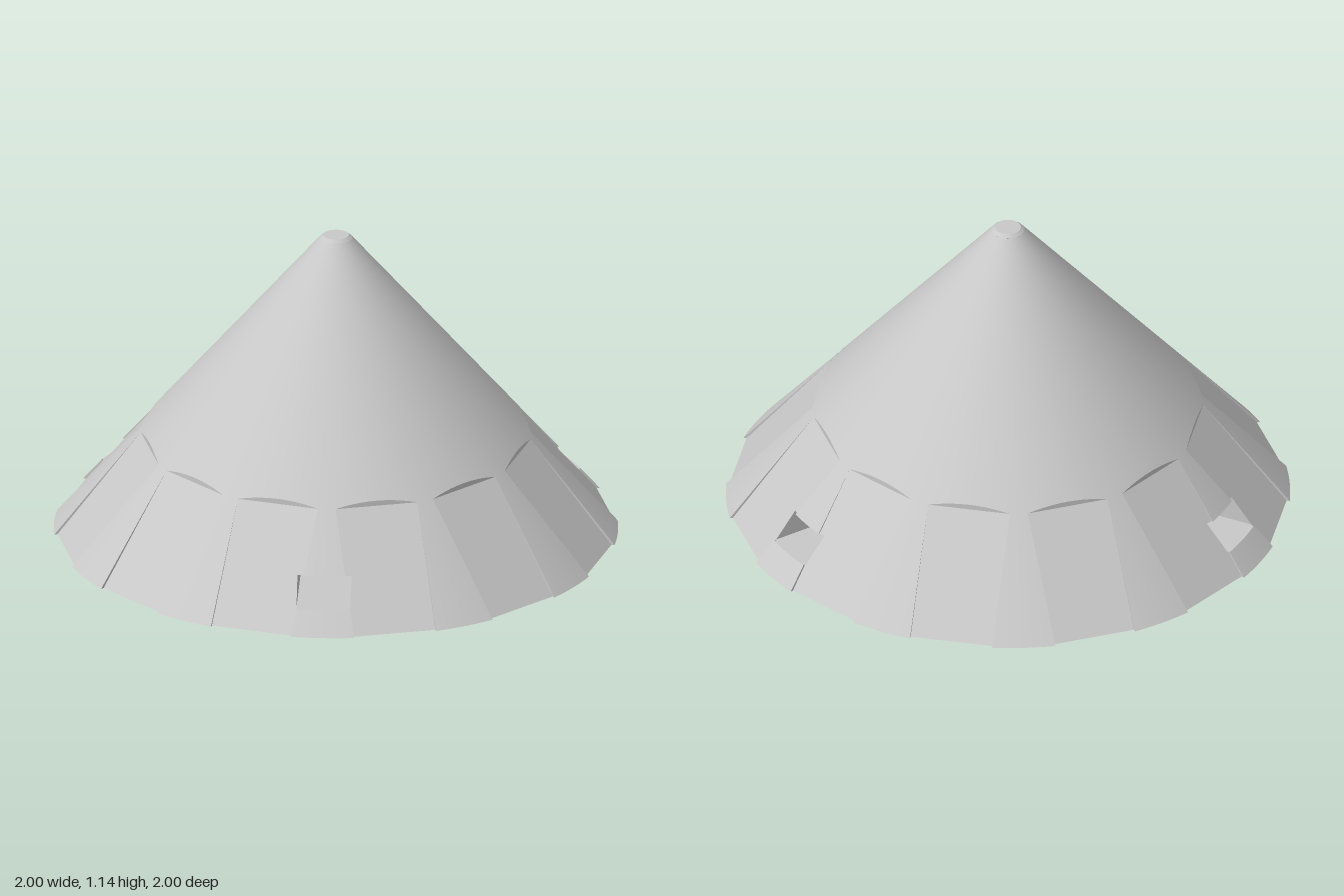
import * as THREE from 'three';

const R0 = 1.011, K = 0.843;               // cone: radius at y is R0 - K*y
const HALF = 0.15, Z_BOTTOM = 0.988, Z_TOP = 0.683; // flat panel half width and depth
const Y_TOP = (R0 - Math.hypot(HALF, Z_TOP)) / K;
const SLOT_Y0 = 0.08, SLOT_Y1 = 0.175, SLOT_HALF = 0.097, SLOT_BACK = 0.5;
const STEP = Math.PI / 6, C15 = Math.cos(STEP / 2), S15 = Math.sin(STEP / 2);

const coneR = y => R0 - K * y;
const panelZ = y => Z_BOTTOM + (Z_TOP - Z_BOTTOM) * y / Y_TOP;
const corner = y => Math.asin(HALF / coneR(y)); // angle where a panel meets a rib
const lerp = THREE.MathUtils.lerp;
const polar = (a, r, y) => [Math.sin(a) * r, y, Math.cos(a) * r];

// Surface through f(u, v), front side along du x dv
function grid(f, nu, nv) {
  const pos = [], index = [];
  for (let j = 0; j <= nv; j++)
    for (let i = 0; i <= nu; i++) pos.push(...f(i / nu, j / nv));
  for (let j = 0; j < nv; j++)
    for (let i = 0; i < nu; i++) {
      const a = j * (nu + 1) + i, b = a + nu + 1;
      index.push(a, a + 1, b, a + 1, b + 1, b);
    }
  const g = new THREE.BufferGeometry();
  g.setAttribute('position', new THREE.Float32BufferAttribute(pos, 3));
  g.setIndex(index);
  g.computeVertexNormals();
  return g;
}

// Exact smooth normals for pieces of the cone
function smoothCone(g) {
  const p = g.attributes.position, n = g.attributes.normal, v = new THREE.Vector3();
  for (let i = 0; i < p.count; i++) {
    v.set(p.getX(i), 0, p.getZ(i)).normalize().setY(K).normalize();
    n.setXYZ(i, v.x, v.y, v.z);
  }
  return g;
}

// Flat panel, notched on a side (-1 or 1) where a slot cuts in
function panelGeometry(notches) {
  const pts = [];
  for (const s of [1, -1]) {
    const side = [[HALF, 0]];
    if (notches.includes(s)) {
      for (const y of [SLOT_Y0, SLOT_Y1]) {
        side.push([HALF, y]);
        const x = Math.min(HALF, (panelZ(y) * S15 - SLOT_HALF) / C15);
        side.splice(y === SLOT_Y0 ? side.length : side.length - 1, 0, [x, y]);
      }
    }
    side.push([HALF, Y_TOP]);
    if (s < 0) side.reverse();
    side.forEach(([x, y]) => pts.push(new THREE.Vector2(s * x, y)));
  }
  const g = new THREE.ShapeGeometry(new THREE.Shape(pts));
  const p = g.attributes.position;
  for (let i = 0; i < p.count; i++) p.setZ(i, panelZ(p.getY(i)));
  g.computeVertexNormals();
  return g;
}

// Outer skin distance in a slot's own frame
function skin(u, y) {
  const a = Math.abs(u), w = (panelZ(y) - a * S15) / C15;
  return w * S15 - a * C15 < HALF ? w : Math.sqrt(coneR(y) ** 2 - u * u);
}

export function createModel() {
  const model = new THREE.Group();
  const grey = new THREE.MeshStandardMaterial({ color: 0xc8c8c8, side: THREE.DoubleSide });
  grey.name = 'light grey';
  const add = (name, geo, angle = 0) => {
    const m = new THREE.Mesh(geo, grey);
    m.name = name;
    m.rotation.y = angle;
    model.add(m);
    return m;
  };

  // Upper cone with arched lower boundary above each panel
  const aT = corner(Y_TOP), angles = [];
  for (let k = 0; k < 12; k++) {
    for (let i = 0; i < 10; i++) angles.push([k * STEP, lerp(-aT, aT, i / 10)]);
    for (let i = 0; i < 4; i++) angles.push([k * STEP, lerp(aT, STEP - aT, i / 4)]);
  }
  angles.push([12 * STEP, -aT]);
  const n = angles.length - 1;
  add('upperCone', smoothCone(grid((u, v) => {
    const [base, t] = angles[Math.round(u * n)];
    const low = t <= aT ? (R0 - Z_TOP / Math.cos(t)) / K : Y_TOP;
    const y = lerp(low, 1.13, v);
    return polar(base + t, coneR(y), y);
  }, n, 6)));
  add('tip', new THREE.CylinderGeometry(0.046, coneR(1.13), 0.01, 48)).position.y = 1.135;

  // Panels, arched shelves and ribs around the skirt
  const slotted = [3, 7, 11];              // ribs that carry a slot
  for (let k = 0; k < 12; k++) {
    const angle = k * STEP, notches = [];
    if (slotted.includes(k)) notches.push(1);
    if (slotted.includes((k + 11) % 12)) notches.push(-1);
    add('panel', panelGeometry(notches), angle);
    add('panelShelf', grid((u, v) => {
      const x = lerp(-HALF, HALF, u);
      return [x, lerp(Y_TOP, (R0 - Math.hypot(x, Z_TOP)) / K, v), Z_TOP];
    }, 10, 1), angle);

    const spans = slotted.includes(k) ? [[0, SLOT_Y0], [SLOT_Y1, Y_TOP]] : [[0, Y_TOP]];
    for (const [y0, y1] of spans) {
      add('rib', smoothCone(grid((u, v) => {
        const y = lerp(y0, y1, v), a = corner(y);
        return polar(lerp(a, STEP - a, u), coneR(y), y);
      }, 8, 4)), angle);
      for (const s of [1, -1])
        add('ribEdge', grid((u, v) => {
          const y = lerp(y0, y1, v), zc = Math.sqrt(coneR(y) ** 2 - HALF * HALF);
          return [s * HALF, y, lerp(panelZ(y), zc, s > 0 ? u : 1 - u)];
        }, 1, 4), s > 0 ? angle : angle + STEP);
    }
  }

  // Slots cut inward through three ribs
  for (const k of slotted) {
    const angle = (k + 0.5) * STEP, w = SLOT_HALF;
    for (const y of [SLOT_Y0, SLOT_Y1])
      add(y === SLOT_Y0 ? 'slotFloor' : 'slotRoof', grid((u, v) => {
        const x = lerp(-w, w, y === SLOT_Y0 ? 1 - u : u);
        return [x, y, lerp(SLOT_BACK, skin(x, y), v)];
      }, 20, 1), angle);
    for (const s of [1, -1])
      add('slotSide', grid((u, v) => {
        const y = lerp(SLOT_Y0, SLOT_Y1, v);
        return [s * w, y, lerp(SLOT_BACK, skin(w, y), s > 0 ? u : 1 - u)];
      }, 1, 1), angle);
    add('slotBack', grid((u, v) =>
      [lerp(-w, w, u), lerp(SLOT_Y0, SLOT_Y1, v), SLOT_BACK], 1, 1), angle);
  }

  // Base plate outline: straight panel feet joined by rib arcs
  const outline = [], a0 = corner(0);
  for (let k = 0; k < 12; k++) {
    const c = Math.cos(k * STEP), s = Math.sin(k * STEP);
    for (const x of [-HALF, HALF])
      outline.push(new THREE.Vector2(x * c + Z_BOTTOM * s, Z_BOTTOM * c - x * s));
    for (let i = 0; i <= 8; i++) {
      const [x, , z] = polar(k * STEP + lerp(a0, STEP - a0, i / 8), R0, 0);
      outline.push(new THREE.Vector2(x, z));
    }
  }
  const base = new THREE.Shape(outline);

  // Blind round holes in the base
  const holes = [[0, 0, 0.108]];
  for (const deg of [70, -50, -170]) {
    const [x, , z] = polar(THREE.MathUtils.degToRad(deg), 0.515, 0);
    holes.push([x, z, 0.053]);
  }
  for (const [x, z, r] of holes) {
    base.holes.push(new THREE.Path().absarc(x, z, r, 0, Math.PI * 2, true));
    add('holeWall', new THREE.CylinderGeometry(r, r, 0.107, 32, 1, true)).position.set(x, 0.0535, z);
    const end = add('holeEnd', new THREE.CircleGeometry(r, 32).rotateX(Math.PI / 2));
    end.position.set(x, 0.107, z);
  }
  add('basePlate', new THREE.ShapeGeometry(base, 16).rotateX(Math.PI / 2));
  return model;
}
